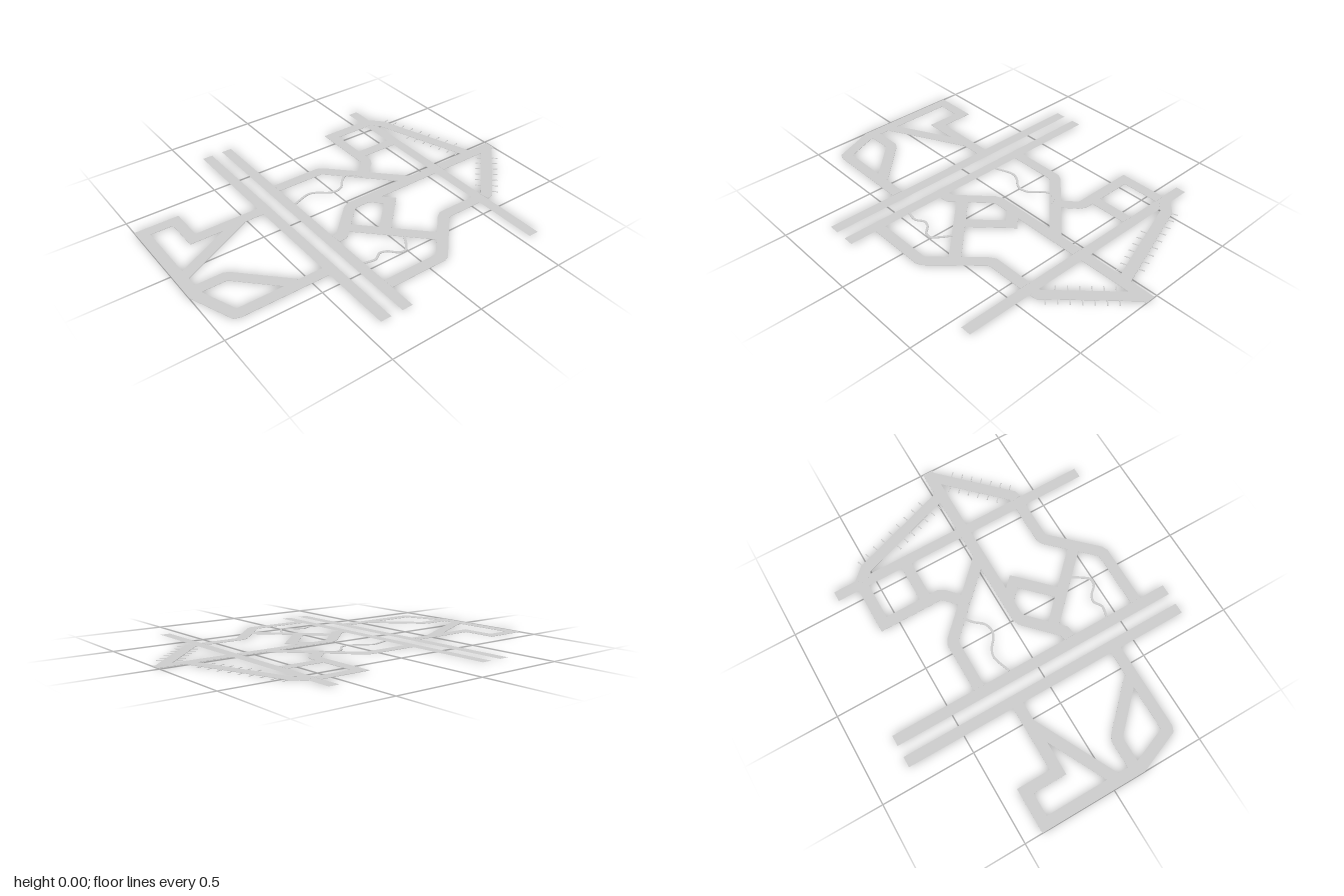
import * as THREE from 'three';

const ROAD = 0.059, THICK = 0.002;
const material = new THREE.MeshStandardMaterial({ color: 0xcccccc, side: THREE.DoubleSide });

// Mitred outline of constant width around a centre line of [x, z] points
function ribbonShape(points, width) {
  const pts = points.map(([x, z]) => new THREE.Vector2(x, -z));
  const left = [], right = [];
  pts.forEach((p, i) => {
    const dirIn = pts[i].clone().sub(pts[Math.max(i - 1, 0)]).normalize();
    const dirOut = pts[Math.min(i + 1, pts.length - 1)].clone().sub(p).normalize();
    const nIn = new THREE.Vector2(-dirIn.y, dirIn.x);
    const nOut = new THREE.Vector2(-dirOut.y, dirOut.x);
    const n = nIn.clone().add(nOut).normalize();
    const reach = width / 2 / n.dot(i ? nIn : nOut);
    left.push(p.clone().addScaledVector(n, reach));
    right.push(p.clone().addScaledVector(n, -reach));
  });
  return new THREE.Shape([...right, ...left.reverse()]);
}

function addRibbon(group, name, points, width = ROAD, height = THICK) {
  const geo = new THREE.ExtrudeGeometry(ribbonShape(points, width), { depth: height, bevelEnabled: false });
  geo.rotateX(-Math.PI / 2);
  const mesh = new THREE.Mesh(geo, material);
  mesh.name = name;
  group.add(mesh);
}

// Paper-thin straight road between two x and two z limits
function addFlatRoad(group, name, x0, x1, z0, z1) {
  const geo = new THREE.PlaneGeometry(x1 - x0, z1 - z0).rotateX(-Math.PI / 2);
  const mesh = new THREE.Mesh(geo, material);
  mesh.position.set((x0 + x1) / 2, THICK / 2, (z0 + z1) / 2);
  mesh.name = name;
  group.add(mesh);
}

// Short marks sticking out from one side of a road running from a to b
function addMarks(group, name, a, b, side, from, to, count) {
  const dx = b[0] - a[0], dz = b[1] - a[1], len = Math.hypot(dx, dz);
  const nx = side * -dz / len, nz = side * dx / len;
  for (let i = 0; i < count; i++) {
    const t = from + (to - from) * i / (count - 1);
    const at = r => [a[0] + dx * t + nx * r, a[1] + dz * t + nz * r];
    addRibbon(group, name, [at(0.02), at(0.061)], 0.006);
  }
}

export function createModel() {
  const model = new THREE.Group();
  model.name = 'roadNetwork';

  // Long straight roads
  addFlatRoad(model, 'highwayLeftLane', -0.404, -0.346, -0.808, 0.802);
  addFlatRoad(model, 'highwayRightLane', -0.283, -0.225, -0.808, 0.802);
  addFlatRoad(model, 'crossRoad', 0.555, 0.612, -0.722, 0.768);

  // Streets, as centre lines in x and z
  const streets = {
    westRingStreet: [[-0.404, -0.19], [-0.789, -0.19], [-0.789, -0.375], [-0.97, -0.375],
      [-0.97, 0.173], [-0.885, 0.386], [-0.87, 0.392], [-0.404, 0.392]],
    westDiagonalStreet: [[-0.97, 0.043], [-0.53, -0.182]],
    westInnerStreet: [[-0.97, 0.146], [-0.8, 0.146], [-0.782, 0.156], [-0.56, 0.378]],
    northStreet: [[-0.225, -0.315], [0.045, -0.315], [0.068, -0.303], [0.4, 0.032]],
    northBlockStreet: [[0.205, -0.135], [0.307, -0.227], [0.32, -0.25], [0.32, -0.575], [0.56, -0.575]],
    northBlockLink: [[0.32, -0.32], [0.556, -0.32]],
    northEastStreet: [[0.595, -0.573], [0.65, -0.515], [0.842, 0.045]],
    mainStreetWest: [[-0.225, 0.223], [-0.185, 0.218], [-0.02, 0.058], [0.01, 0.045], [0.555, 0.045]],
    mainStreetEast: [[0.612, 0.045], [1, 0.045]],
    centreDiagonalStreet: [[-0.13, 0.18], [0.19, 0.498]],
    centreLoopStreet: [[0.105, 0.045], [0.19, 0.13], [0.005, 0.315]],
    southStreet: [[-0.225, 0.63], [0.09, 0.63], [0.11, 0.62], [0.318, 0.402], [0.34, 0.388], [0.556, 0.388]],
    southEastStreet: [[0.612, 0.388], [0.637, 0.384], [0.969, 0.046]],
  };
  for (const [name, points] of Object.entries(streets)) addRibbon(model, name, points);

  // Winding footpaths
  const footpaths = {
    northFootpath: [[-0.225, -0.138], [-0.12, -0.17], [-0.075, -0.155], [-0.03, -0.12], [0.005, -0.107],
      [0.055, -0.12], [0.1, -0.17], [0.14, -0.195], [0.175, -0.18], [0.21, -0.135]],
    southFootpath: [[-0.225, 0.45], [-0.165, 0.46], [-0.12, 0.435], [-0.085, 0.445],
      [-0.04, 0.487], [-0.005, 0.49], [0.03, 0.45], [0.06, 0.4]],
  };
  for (const [name, points] of Object.entries(footpaths)) {
    const curve = new THREE.CatmullRomCurve3(points.map(([x, z]) => new THREE.Vector3(x, 0, z)));
    addRibbon(model, name, curve.getPoints(48).map(p => [p.x, p.z]), 0.012, THICK * 2);
  }

  // Parking marks beside the two eastern streets
  const marks = new THREE.Group();
  marks.name = 'parkingMarks';
  model.add(marks);
  const north = [[0.65, -0.515], [0.842, 0.045]], south = [[0.637, 0.384], [0.969, 0.046]];
  addMarks(marks, 'northOuterMark', ...north, -1, 0.0, 0.8, 9);
  addMarks(marks, 'northInnerMark', ...north, 1, 0.35, 0.89, 7);
  addMarks(marks, 'southOuterMark', ...south, 1, 0.06, 0.76, 7);
  addMarks(marks, 'southInnerMark', ...south, -1, 0.16, 0.74, 6);

  return model;
}
